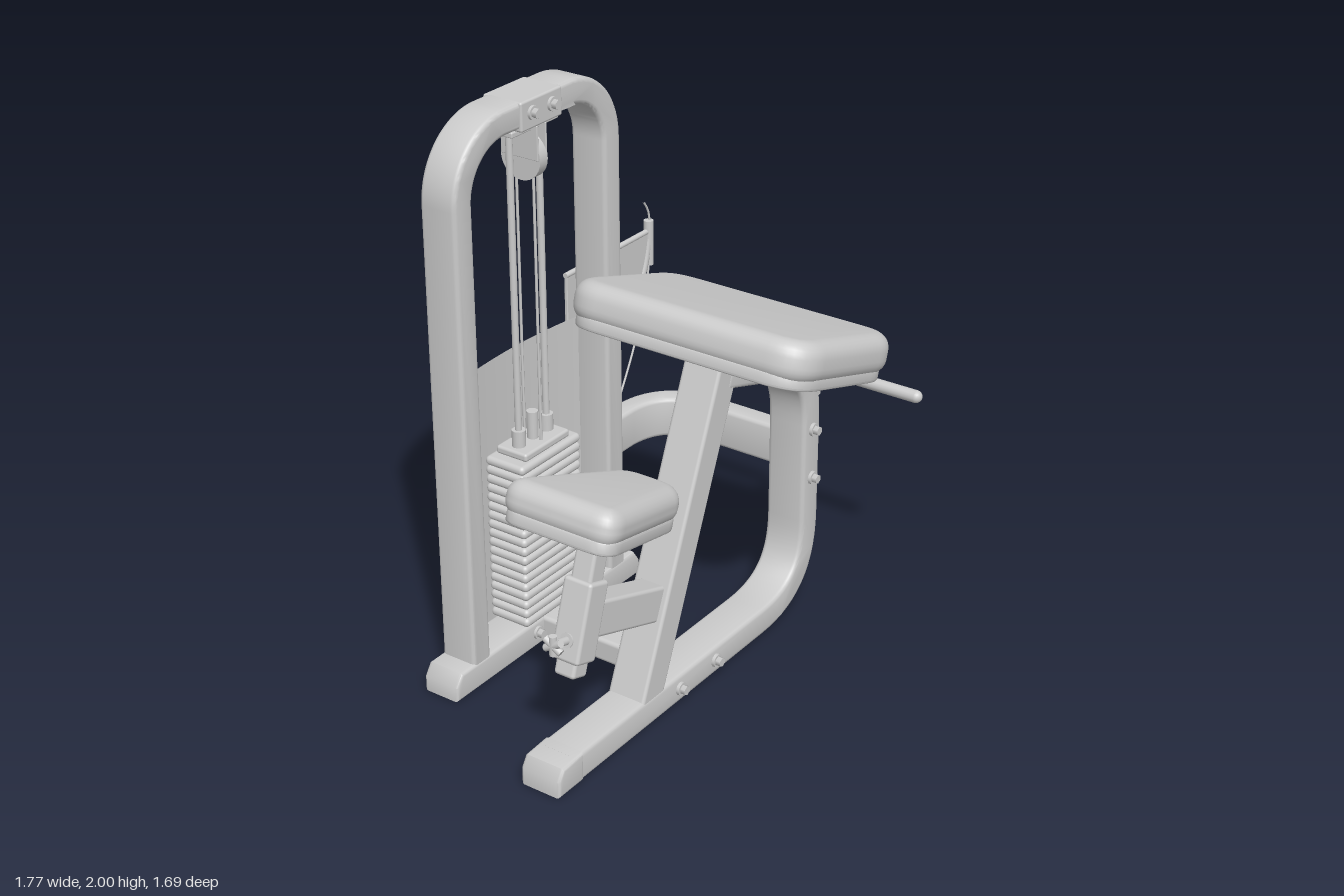
import * as THREE from 'three';
import { toCreasedNormals } from 'three/addons/utils/BufferGeometryUtils.js';
import { RoundedBoxGeometry } from 'three/addons/geometries/RoundedBoxGeometry.js';

const MID = 0.145;    // centre plane of the seat and arm pad
const TOWER = -0.457; // centre plane of the weight tower
const TILT = -0.31;   // both pads slope the same way

export function createModel() {
  const model = new THREE.Group();
  const rig = new THREE.Group();
  rig.name = 'curlMachine';
  rig.rotation.y = Math.PI / 4; // the machine stands diagonally
  model.add(rig);
  const grey = new THREE.MeshStandardMaterial({ color: 0xcccccc });
  const sheet = new THREE.MeshStandardMaterial({ color: 0xcccccc, side: THREE.DoubleSide });

  const add = (name, geo, x = 0, y = 0, z = 0, mat = grey) => {
    const m = new THREE.Mesh(geo, mat);
    m.name = name;
    m.position.set(x, y, z);
    rig.add(m);
    return m;
  };
  const V = (x, y, z) => new THREE.Vector3(x, y, z);

  // Extrusion centred on z with softened edges
  const slab = (shape, depth, bevel, steps = 3) => {
    const g = new THREE.ExtrudeGeometry(shape, {
      depth: depth - 2 * bevel, bevelEnabled: true, bevelSize: bevel, bevelThickness: bevel,
      bevelOffset: -bevel, bevelSegments: steps, curveSegments: 10,
    });
    g.translate(0, 0, bevel - depth / 2);
    return toCreasedNormals(g, 0.7);
  };
  // Constant-width outline along a 2D path
  const band = (path, width) => {
    const p = path.getPoints(14);
    const dir = (a, b) => b.clone().sub(a).normalize();
    const left = [], right = [];
    p.forEach((q, i) => {
      const t = new THREE.Vector2();
      if (i > 0) t.add(dir(p[i - 1], q));
      if (i < p.length - 1) t.add(dir(q, p[i + 1]));
      t.normalize().multiplyScalar(width / 2);
      left.push(new THREE.Vector2(q.x - t.y, q.y + t.x));
      right.unshift(new THREE.Vector2(q.x + t.y, q.y - t.x));
    });
    return new THREE.Shape([...left, ...right]);
  };
  const polygon = (pts) => new THREE.Shape(pts.map(([x, y]) => new THREE.Vector2(x, y)));
  // Polygon with rounded corners
  const rounded = (pts, r) => {
    const s = new THREE.Shape();
    pts.forEach(([x, y], i) => {
      const c = new THREE.Vector2(x, y);
      const toward = (q) => new THREE.Vector2(...q).sub(c).setLength(r).add(c);
      const a = toward(pts.at(i - 1)), b = toward(pts[(i + 1) % pts.length]);
      if (i) s.lineTo(a.x, a.y); else s.moveTo(a.x, a.y);
      s.quadraticCurveTo(x, y, b.x, b.y);
    });
    s.closePath();
    return s;
  };
  const tube = (name, pts, r, n = 40) =>
    add(name, new THREE.TubeGeometry(new THREE.CatmullRomCurve3(pts), n, r, 10));
  const rod = (name, a, b, r, r2 = r, sides = 16) => {
    const d = b.clone().sub(a);
    const m = add(name, new THREE.CylinderGeometry(r2, r, d.length(), sides));
    m.position.copy(a).add(b).multiplyScalar(0.5);
    m.quaternion.setFromUnitVectors(V(0, 1, 0), d.normalize());
  };
  // Rectangular bar between two points of the seat plane
  const bar = (name, a, b, thick, depth) => {
    const dx = b[0] - a[0], dy = b[1] - a[1];
    const m = add(name, new RoundedBoxGeometry(thick, Math.hypot(dx, dy), depth, 2, 0.012),
      (a[0] + b[0]) / 2, (a[1] + b[1]) / 2, MID);
    m.rotation.z = -Math.atan2(dx, dy);
  };
  const bolt = (x, y, z) => {
    rod('washer', V(x, y, z), V(x, y, z + 0.012), 0.024);
    rod('boltHead', V(x, y, z), V(x, y, z + 0.03), 0.017, 0.017, 6);
  };

  // Weight tower: inverted U on a flat foot
  const hoop = new THREE.Path();
  hoop.moveTo(-0.6, 0.05);
  hoop.lineTo(-0.6, 1.735);
  hoop.absarc(-0.38, 1.735, 0.22, Math.PI, Math.PI / 2, true);
  hoop.lineTo(-0.05, 1.955);
  hoop.absarc(-0.05, 1.735, 0.22, Math.PI / 2, 0, true);
  hoop.lineTo(0.17, 0.05);
  add('towerFrame', slab(band(hoop, 0.09), 0.14, 0.016), 0, 0, TOWER);
  add('towerFoot', slab(polygon([[-0.74, 0], [0.3, 0], [0.3, 0.055], [0.27, 0.098], [-0.71, 0.098], [-0.74, 0.055]]),
    0.145, 0.012), 0, 0, TOWER);

  // Weight stack, guide rods and pulley
  for (let i = 0; i < 18; i++)
    add('weightPlate', new RoundedBoxGeometry(0.325, 0.034, 0.165, 3, 0.016), -0.21, 0.12 + i * 0.035, TOWER);
  add('topPlate', new RoundedBoxGeometry(0.24, 0.03, 0.13, 2, 0.01), -0.21, 0.745, TOWER);
  for (const s of [-1, 1]) {
    const x = -0.21 + s * 0.075;
    rod('guideRod', V(x, 0.1, TOWER), V(x, 1.92, TOWER), 0.012);
    rod('guideBushing', V(x, 0.75, TOWER), V(x, 0.82, TOWER), 0.024);
    rod('liftCable', V(-0.21, 0.76, TOWER + s * 0.035), V(-0.21, 1.8, TOWER + s * 0.035), 0.005, 0.005, 8);
    add('pulleyCheek', new RoundedBoxGeometry(0.008, 0.12, 0.15, 1, 0.003), -0.21 + s * 0.022, 1.84, TOWER);
    bolt(-0.21 + s * 0.05, 1.955, TOWER + 0.075);
  }
  rod('selectorStem', V(-0.21, 0.75, TOWER), V(-0.21, 0.86, TOWER), 0.02);
  rod('pulley', V(-0.23, 1.78, TOWER), V(-0.19, 1.78, TOWER), 0.08, 0.08, 28);
  add('pulleyBracket', new RoundedBoxGeometry(0.21, 0.1, 0.155, 2, 0.008), -0.21, 1.95, TOWER);
  add('rodPlate', new RoundedBoxGeometry(0.24, 0.02, 0.1, 1, 0.005), -0.21, 1.89, TOWER);

  // Slightly bowed rear guard with two rows of slots
  const guard = new THREE.PlaneGeometry(0.77, 1.04, 20, 1);
  const gp = guard.attributes.position;
  for (let i = 0; i < gp.count; i++) gp.setZ(i, 0.035 * ((gp.getX(i) / 0.385) ** 2 - 1));
  guard.computeVertexNormals();
  add('rearGuard', guard, -0.215, 0.55, -0.505, sheet);
  for (const s of [-1, 1])
    for (let i = 0; i < 18; i++)
      add('guardSlot', new THREE.BoxGeometry(0.02, 0.018, 0.008), -0.215 + s * 0.13, 0.12 + i * 0.035, -0.538);

  // Seat frame: floor rail sweeping up and over to the arm pad
  const loop = new THREE.Path();
  loop.moveTo(-0.88, 0.052);
  loop.lineTo(0.2, 0.052);
  loop.bezierCurveTo(0.4, 0.052, 0.497, 0.14, 0.497, 0.34);
  loop.lineTo(0.497, 0.72);
  loop.bezierCurveTo(0.497, 0.92, 0.4, 0.97, 0.2, 1.04);
  loop.lineTo(-0.02, 1.11);
  add('seatFrame', slab(band(loop, 0.104), 0.15, 0.016), 0, 0, MID);
  add('frameFoot', slab(polygon([[-0.97, 0], [-0.84, 0], [-0.84, 0.106], [-0.945, 0.1], [-0.97, 0.06]]),
    0.155, 0.012), 0, 0, MID);
  bar('mainColumn', [-0.47, 0.05], [-0.005, 1.17], 0.115, 0.145);
  add('floorBeam', new RoundedBoxGeometry(0.13, 0.09, 0.55, 2, 0.015), -0.205, 0.053, -0.16);
  for (const s of [-1, 1]) {
    bolt(-0.2 + s * 0.105, 0.055, MID + 0.074);
    bolt(-0.2 + s * 0.105, 0.055, TOWER + 0.07);
    bolt(0.497, 0.595 + s * 0.095, MID + 0.074);
  }

  // Curved arm tying the seat frame to the tower
  const tie = new THREE.Path();
  tie.moveTo(0.5, 0.1);
  tie.lineTo(0.5, -0.2);
  tie.bezierCurveTo(0.5, -0.35, 0.43, -0.425, 0.29, -0.435);
  tie.lineTo(0.18, -0.435);
  const tieGeo = slab(band(tie, 0.08), 0.15, 0.015);
  tieGeo.rotateX(Math.PI / 2);
  add('tieArm', tieGeo, 0, 0.6, 0);

  // Cushions on backing boards
  const cushion = (name, pts, r, thick, x, y) => {
    const g = new THREE.Group();
    g.name = name;
    g.position.set(x, y, MID);
    g.rotation.z = TILT;
    const foam = slab(rounded(pts, r), thick - 0.02, 0.055, 6).rotateX(Math.PI / 2);
    const board = slab(rounded(pts.map(([a, b]) => [a * 0.97, b * 0.97]), r), 0.05, 0.01).rotateX(Math.PI / 2);
    g.add(add(name + 'Cushion', foam, 0, 0.01, 0), add(name + 'Board', board, 0, 0.025 - thick / 2, 0));
    rig.add(g);
  };
  cushion('armPad', [[-0.318, -0.468], [0.318, -0.468], [0.318, 0.468], [-0.318, 0.468]], 0.14, 0.16, 0.085, 1.215);
  cushion('seat', [[-0.275, -0.225], [0.275, -0.125], [0.275, 0.125], [-0.275, 0.225]], 0.09, 0.145, -0.61, 0.868);

  // Adjustable seat post
  bar('seatPost', [-0.805, 0.35], [-0.65, 0.83], 0.075, 0.08);
  bar('postSleeve', [-0.79, 0.4], [-0.707, 0.66], 0.1, 0.11);
  bar('seatArm', [-0.73, 0.53], [-0.35, 0.4], 0.125, 0.1);
  rod('knobStem', V(-0.78, 0.475, MID), V(-0.89, 0.505, MID), 0.014);
  rod('knobCollar', V(-0.79, 0.478, MID), V(-0.82, 0.486, MID), 0.025);
  for (let i = 0; i < 3; i++) {
    const a = i * Math.PI / 3, dy = 0.035 * Math.cos(a), dz = 0.035 * Math.sin(a);
    rod('knob', V(-0.885, 0.502 - dy, MID - dz), V(-0.885, 0.502 + dy, MID + dz), 0.013);
  }

  // Pivot, lever and twin grips
  rod('pivotShaft', V(0.23, 1.14, -0.6), V(0.23, 1.14, -0.31), 0.042, 0.042, 24);
  add('pivotHousing', new RoundedBoxGeometry(0.11, 0.1, 0.16, 2, 0.02), 0.2, 1.14, TOWER);
  tube('lever', [V(0.23, 1.14, -0.36), V(0.32, 1.03, -0.375), V(0.43, 0.92, -0.35), V(0.525, 0.84, -0.22),
    V(0.56, 0.82, -0.05), V(0.575, 0.82, MID)], 0.032, 50);
  rod('handleHub', V(0.575, 0.785, MID + 0.015), V(0.575, 0.86, MID + 0.015), 0.035, 0.03, 20);
  for (const s of [-1, 1]) {
    const z = (d) => 0.177 + s * d;
    tube('handleStem', [V(0.57, 0.82, z(0)), V(0.61, 0.82, z(0.025)), V(0.665, 0.82, z(0.04)),
      V(0.695, 0.82, z(0.075)), V(0.695, 0.82, z(0.13))], 0.017, 24);
    const grip = add('grip', new THREE.CapsuleGeometry(0.023, 0.23, 6, 16), 0.695, 0.82, z(0.22));
    grip.rotation.x = Math.PI / 2;
  }

  // Cam sector with raised rim, and its cable down to the floor
  const cam = new THREE.Shape();
  cam.moveTo(0.12, 1.21);
  cam.lineTo(0.12, 0.93);
  cam.bezierCurveTo(0.2, 0.875, 0.32, 0.865, 0.42, 0.905);
  cam.bezierCurveTo(0.53, 0.95, 0.59, 1.06, 0.61, 1.21);
  cam.closePath();
  add('camPlate', slab(cam, 0.014, 0.003, 1), 0, 0, -0.56);
  const rim = cam.getPoints(12).slice(1, -1).map((p) => V(p.x, p.y, -0.56));
  tube('camRim', rim, 0.015);
  rod('camTopEdge', V(0.12, 1.21, -0.56), V(0.61, 1.21, -0.56), 0.01);
  rod('cableClamp', V(0.61, 1.08, -0.56), V(0.61, 1.25, -0.56), 0.018);
  tube('cable', [V(0.58, 1.33, -0.56), V(0.61, 1.28, -0.56), V(0.61, 1.08, -0.56), V(0.54, 0.84, -0.56),
    V(0.35, 0.5, -0.56), V(0.13, 0.21, -0.56), V(-0.04, 0.06, -0.56), V(-0.17, 0.03, -0.55)], 0.004, 60);
  return model;
}
